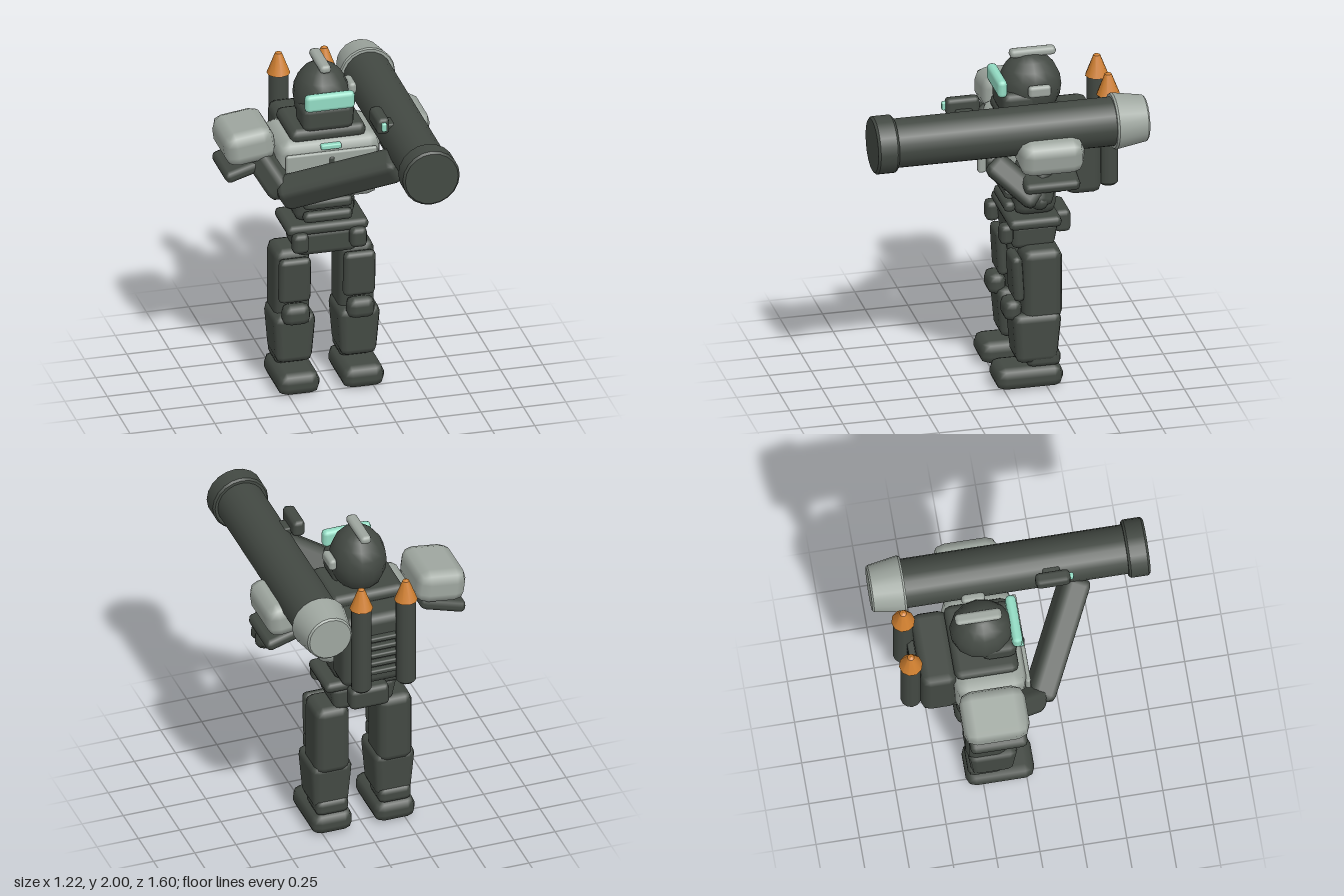
import * as THREE from 'three';
import { RoundedBoxGeometry } from 'three/addons/geometries/RoundedBoxGeometry.js';

const material = (name, color) => {
  const m = new THREE.MeshStandardMaterial({ color });
  m.name = name;
  return m;
};

export function createModel() {
  const dark = material('dark armour', 0x434943);
  const grey = material('light grey armour', 0x9ea69f);
  const mint = material('mint glass', 0x93dcc4);
  const orange = material('orange warhead', 0xcf7f30);
  const model = new THREE.Group();
  model.name = 'robot';

  const add = (parent, name, geometry, mat, pos = [0, 0, 0]) => {
    const mesh = new THREE.Mesh(geometry, mat);
    mesh.name = name;
    mesh.position.set(...pos);
    parent.add(mesh);
    return mesh;
  };

  // Bevelled box; bottom and top scale its ends in x and z
  const box = (parent, name, mat, size, pos, r = 0.03, bottom = 1, top = 1) => {
    const g = new RoundedBoxGeometry(...size, 1, r);
    const p = g.attributes.position;
    for (let i = 0; i < p.count; i++) {
      const s = THREE.MathUtils.lerp(bottom, top, p.getY(i) / size[1] + 0.5);
      p.setX(i, p.getX(i) * s);
      p.setZ(i, p.getZ(i) * s);
    }
    return add(parent, name, g, mat, pos);
  };

  // Bevelled box running between two joints
  const limb = (parent, name, a, b, w, d) => {
    const from = new THREE.Vector3(...a);
    const dir = new THREE.Vector3(...b).sub(from);
    const mid = from.clone().addScaledVector(dir, 0.5);
    const mesh = box(parent, name, dark, [w, dir.length(), d], mid.toArray(), 0.045);
    mesh.quaternion.setFromUnitVectors(new THREE.Vector3(0, 1, 0), dir.normalize());
    return mesh;
  };

  // Turned part along y from [radius, height] points, with hard edges
  const turned = (parent, name, mat, points, pos, sides) => {
    const part = new THREE.Group();
    part.name = name;
    part.position.set(...pos);
    parent.add(part);
    for (let i = 0; i < points.length - 1; i++) {
      const pair = [points[i], points[i + 1]].map(([x, y]) => new THREE.Vector2(x, y));
      add(part, name + 'Section', new THREE.LatheGeometry(pair, sides), mat);
    }
    return part;
  };

  // Legs
  for (const s of [-1, 1]) {
    const leg = new THREE.Group();
    leg.name = s > 0 ? 'leftLeg' : 'rightLeg';
    leg.position.x = 0.19 * s;
    model.add(leg);
    box(leg, 'foot', dark, [0.25, 0.135, 0.395], [0, 0.068, -0.15], 0.055);
    box(leg, 'ankle', dark, [0.2, 0.1, 0.2], [0, 0.175, -0.235], 0.035);
    box(leg, 'shin', dark, [0.25, 0.31, 0.285], [0, 0.31, -0.193], 0.045, 0.84, 1.02);
    box(leg, 'thigh', dark, [0.21, 0.44, 0.235], [0, 0.63, -0.228], 0.05);
    const plate = box(leg, 'thighPlate', dark, [0.19, 0.28, 0.065], [0, 0.68, -0.085], 0.03);
    plate.rotation.x = 0.06;
    box(leg, 'knee', dark, [0.165, 0.125, 0.11], [0, 0.478, -0.06], 0.045);
  }

  // Hips and waist
  box(model, 'pelvis', dark, [0.41, 0.17, 0.29], [0, 0.905, -0.2], 0.04, 0.85, 1);
  box(model, 'belt', dark, [0.485, 0.065, 0.31], [0, 0.998, -0.198], 0.03);
  for (const s of [-1, 1]) {
    box(model, 'beltPouch', dark, [0.1, 0.12, 0.08], [0.17 * s, 0.935, -0.035], 0.03);
  }
  box(model, 'rearPouch', dark, [0.24, 0.135, 0.1], [0, 0.943, -0.385], 0.03);
  box(model, 'waist', dark, [0.36, 0.17, 0.25], [0, 1.105, -0.215], 0.06);
  for (const y of [1.157, 1.075]) {
    box(model, 'bellyPlate', dark, [0.29, 0.065, 0.07], [0, y, -0.07], 0.028);
  }

  // Torso
  box(model, 'chest', grey, [0.62, 0.4, 0.42], [0, 1.385, -0.2], 0.075, 0.95, 1);
  box(model, 'chestPlate', grey, [0.54, 0.21, 0.03], [0, 1.415, 0.014], 0.013);
  box(model, 'chestRidge', dark, [0.035, 0.21, 0.03], [0, 1.385, 0.02], 0.012);
  box(model, 'chestLamp', mint, [0.12, 0.03, 0.04], [0, 1.547, 0.003], 0.008);
  box(model, 'collar', dark, [0.45, 0.085, 0.37], [0, 1.6, -0.215], 0.04);

  // Head
  const skull = add(model, 'helmet', new THREE.SphereGeometry(1, 14, 10), dark, [0, 1.775, -0.215]);
  skull.scale.set(0.163, 0.2, 0.183);
  box(model, 'jaw', dark, [0.3, 0.16, 0.2], [0, 1.7, -0.13], 0.04, 1, 1.05);
  box(model, 'visor', mint, [0.295, 0.105, 0.06], [0, 1.815, -0.026], 0.025);
  box(model, 'crest', grey, [0.068, 0.05, 0.27], [0, 1.975, -0.232], 0.022);
  box(model, 'earPiece', grey, [0.05, 0.07, 0.135], [0.176, 1.803, -0.232], 0.02);

  // Backpack with ribs and two rockets
  box(model, 'backpack', dark, [0.45, 0.455, 0.21], [0, 1.372, -0.487], 0.05);
  for (let i = 0; i < 5; i++) {
    box(model, 'backpackRib', dark, [0.2, 0.03, 0.06], [0, 1.25 + i * 0.055, -0.6], 0.01);
  }
  for (const x of [-0.135, 0.135]) {
    turned(model, 'rocketTube', dark,
      [[0, 1.17], [0.045, 1.17], [0.059, 1.185], [0.059, 1.73]], [x, 0, -0.643], 12);
    turned(model, 'rocketTip', orange,
      [[0, 1.725], [0.068, 1.725], [0.02, 1.85], [0, 1.86]], [x, 0, -0.643], 10);
  }

  // Shoulder pads with the plates beneath
  for (const s of [-1, 1]) {
    const pad = box(model, 'shoulderPad', grey, [0.3, 0.205, 0.38], [0.455 * s, 1.56, -0.215], 0.07);
    pad.rotation.z = -0.13 * s;
    const plate = box(model, 'armPlate', dark, [0.28, 0.07, 0.33], [0.47 * s, 1.42, -0.207], 0.03);
    plate.rotation.z = -0.3 * s;
  }

  // Right arm reaches across the chest to steady the launcher
  limb(model, 'rightUpperArm', [-0.42, 1.52, -0.2], [-0.29, 1.31, 0.08], 0.15, 0.15);
  limb(model, 'rightForearm', [-0.31, 1.31, 0.06], [0.3, 1.575, 0.385], 0.17, 0.17);
  box(model, 'rightHand', dark, [0.13, 0.12, 0.12], [0.3, 1.56, 0.36], 0.04);

  // Left arm bends up to the grip
  limb(model, 'leftUpperArm', [0.44, 1.52, -0.2], [0.54, 1.26, -0.14], 0.13, 0.13);
  limb(model, 'leftForearm', [0.545, 1.285, -0.14], [0.37, 1.49, 0.1], 0.15, 0.15);
  add(model, 'leftElbow', new THREE.SphereGeometry(0.055, 10, 8), dark, [0.54, 1.29, -0.14]);
  box(model, 'leftHand', dark, [0.11, 0.11, 0.11], [0.37, 1.48, 0.09], 0.035);
  box(model, 'grip', grey, [0.05, 0.12, 0.05], [0.385, 1.495, 0.16], 0.015);

  // Shoulder launcher, turned along y then laid with its muzzle forward
  const launcher = new THREE.Group();
  launcher.name = 'launcher';
  launcher.position.set(0.38, 1.665, 0);
  launcher.rotation.x = Math.PI / 2;
  model.add(launcher);
  turned(launcher, 'launchTube', dark, [[0.142, -0.61], [0.142, 0.69]], [0, 0, 0], 20);
  turned(launcher, 'muzzle', dark,
    [[0.142, 0.675], [0.158, 0.675], [0.168, 0.688], [0.168, 0.787], [0.156, 0.8], [0, 0.8]], [0, 0, 0], 20);
  turned(launcher, 'exhaustNozzle', grey,
    [[0, -0.8], [0.125, -0.8], [0.135, -0.79], [0.164, -0.615], [0.158, -0.603], [0.14, -0.603]], [0, 0, 0], 20);

  // Sight on the inner side of the launcher
  box(model, 'sight', dark, [0.076, 0.1, 0.2], [0.223, 1.79, 0.235], 0.025);
  box(model, 'sightMount', dark, [0.1, 0.04, 0.1], [0.275, 1.76, 0.235], 0.01);
  box(model, 'sightLens', mint, [0.03, 0.05, 0.03], [0.223, 1.795, 0.34], 0.008);

  return model;
}
